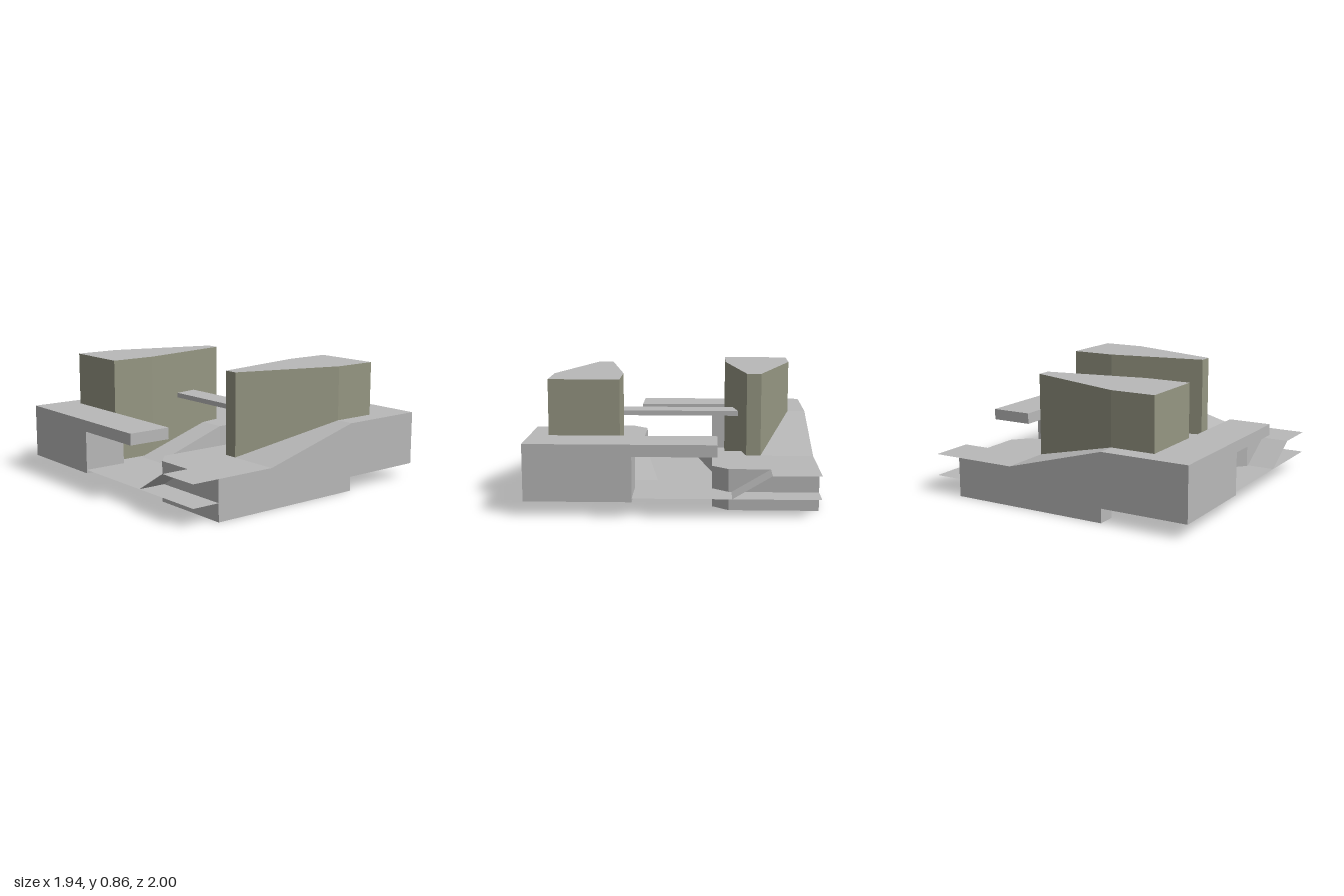
import * as THREE from 'three';

const FLOOR = 0.125, LOW = 0.28, HIGH = 0.48;

const stone = new THREE.MeshStandardMaterial({ color: 0xb8b8b8, side: THREE.DoubleSide });
stone.name = 'grey stone';
const olive = new THREE.MeshStandardMaterial({ color: 0x959682 });
olive.name = 'olive wall';

// Upright prism over an [x, z] outline; the top is a height or a rule of z.
function prism(name, outline, bottom, top, material = stone) {
  const shape = new THREE.Shape(outline.map(([x, z]) => new THREE.Vector2(x, -z)));
  const geo = new THREE.ExtrudeGeometry(shape, { depth: 1, bevelEnabled: false });
  geo.rotateX(-Math.PI / 2);
  const p = geo.attributes.position;
  for (let i = 0; i < p.count; i++) {
    const height = typeof top === 'function' ? top(p.getZ(i)) : top;
    p.setY(i, p.getY(i) > 0.5 ? height : bottom);
  }
  geo.computeVertexNormals();
  const mesh = new THREE.Mesh(geo, material);
  mesh.name = name;
  return mesh;
}

function box(name, x0, x1, y0, y1, z0, z1) {
  const mesh = new THREE.Mesh(new THREE.BoxGeometry(x1 - x0, y1 - y0, z1 - z0), stone);
  mesh.position.set((x0 + x1) / 2, (y0 + y1) / 2, (z0 + z1) / 2);
  mesh.name = name;
  return mesh;
}

// Flat open sheet made of strips that follow an [x, y] profile along z.
function sheet(name, profile, z0, z1) {
  const v = [];
  for (let i = 0; i < profile.length - 1; i++) {
    const [ax, ay] = profile[i], [bx, by] = profile[i + 1];
    v.push(ax, ay, z0, ax, ay, z1, bx, by, z1, ax, ay, z0, bx, by, z1, bx, by, z0);
  }
  const geo = new THREE.BufferGeometry();
  geo.setAttribute('position', new THREE.Float32BufferAttribute(v, 3));
  geo.computeVertexNormals();
  const mesh = new THREE.Mesh(geo, stone);
  mesh.name = name;
  return mesh;
}

const slope = (z0, y0, z1, y1) => (z) => THREE.MathUtils.mapLinear(z, z0, z1, y0, y1);

// One half of the arena; the other half is the same turned by 180 degrees.
function buildHalf(name) {
  const half = new THREE.Group();
  half.name = name;
  half.add(
    // low terrace with a cut corner
    prism('lowTerrace', [[0.97, 0.8], [0.37, 0.8], [0.26, 0.7], [0.26, 0.2], [0.469, 0.2],
      [0.5, 0.36], [0.6, 0.36], [0.97, 0.36]], 0, LOW),
    // ramp outside the tall wall, up to the high terrace
    prism('sideRamp', [[0.97, 0.36], [0.6, 0.36], [0.84, -0.37], [0.97, -0.37]],
      0, slope(0.36, LOW, -0.37, HIGH)),
    // ramp inside the tall wall, down to the floor
    prism('innerRamp', [[0.26, 0.2], [0.469, 0.2], [0.336, -0.48], [0.115, -0.48]],
      0, slope(0.2, LOW, -0.48, FLOOR)),
    // high terrace and the ledge reaching over the passage
    prism('highTerrace', [[0.97, -0.37], [0.84, -0.37], [0.84, -0.69], [0.26, -0.69],
      [0.26, -1], [0.97, -1]], 0.1, HIGH),
    box('ledge', -0.295, 0.26, 0.4, HIGH, -1, -0.69),
    // tapered tall wall with a grey top
    prism('tallWall', [[0.84, -0.69], [0.36, -0.69], [0.36, -0.36], [0.5, 0.36],
      [0.6, 0.36], [0.84, -0.37]], FLOOR, 0.86, [stone, olive]),
    // thin ramp at the open corner
    sheet('cornerRamp', [[0.39, FLOOR], [0.65, LOW], [0.97, LOW]], 0.8, 1)
  );
  return half;
}

export function createModel() {
  const model = new THREE.Group();
  model.name = 'arena';
  const frontRight = buildHalf('firstHalf');
  const backLeft = buildHalf('secondHalf');
  backLeft.rotation.y = Math.PI;
  model.add(
    frontRight,
    backLeft,
    sheet('floor', [[-0.97, FLOOR], [0.97, FLOOR]], -1, 1),
    box('bridge', -0.455, 0.455, 0.518, 0.553, -0.09, 0.09)
  );
  return model;
}
